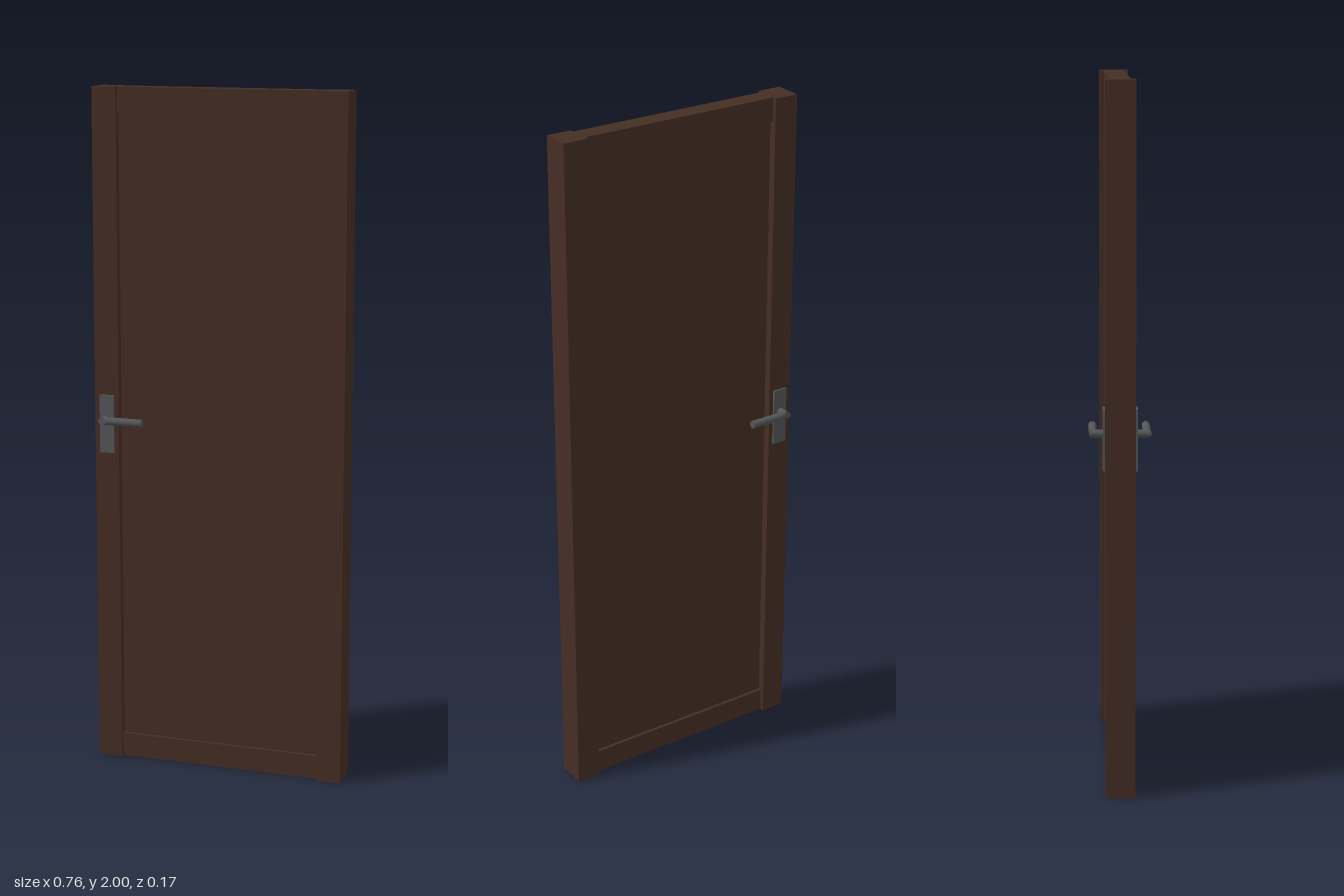
import * as THREE from 'three';

export function createModel() {
  const door = new THREE.Group();
  door.name = 'door';
  const wood = new THREE.MeshStandardMaterial({ color: 0x452e24 });
  wood.name = 'dark brown wood';
  const metal = new THREE.MeshStandardMaterial({ color: 0x535557 });
  metal.name = 'grey metal';

  function add(parent, name, geometry, material, x, y, z) {
    const mesh = new THREE.Mesh(geometry, material);
    mesh.name = name;
    mesh.position.set(x, y, z);
    parent.add(mesh);
  }

  // Frame: two thick stiles joined by thinner rails
  const W = 0.378, INNER = 0.305, RAIL = 0.07;
  for (const s of [-1, 1]) {
    add(door, s < 0 ? 'rightStile' : 'leftStile',
      new THREE.BoxGeometry(W - INNER, 2, 0.084), wood, s * (W + INNER) / 2, 1, 0);
    add(door, s < 0 ? 'bottomRail' : 'topRail',
      new THREE.BoxGeometry(INNER * 2, RAIL, 0.058), wood, 0, 1 + s * (1 - RAIL / 2), 0);
  }

  // Recessed panel
  add(door, 'panel', new THREE.BoxGeometry(INNER * 2, 2 - RAIL * 2, 0.038), wood, 0, 1, 0);

  // Round bar with one end cut at 45 degrees, built along +y
  const R = 0.0113;
  function mitredBar(length) {
    const bar = new THREE.CylinderGeometry(R, R, length, 24).translate(0, -length / 2, 0);
    const p = bar.attributes.position;
    for (let i = 0; i < p.count; i++) {
      if (p.getY(i) > -length / 2) p.setY(i, -p.getX(i));
    }
    return bar;
  }

  // Lever handles on both faces, both pointing to the middle of the door
  const HX = -0.341, HY = 1.04, HZ = 0.0747;
  for (const s of [1, -1]) {
    const side = s > 0 ? 'front' : 'back';
    add(door, side + 'HandlePlate', new THREE.BoxGeometry(0.044, 0.172, 0.006),
      metal, -0.34, 1.025, s * 0.045);

    const handle = new THREE.Group();
    handle.name = side + 'Handle';
    handle.position.set(HX, HY, 0);
    if (s < 0) handle.rotation.x = Math.PI;
    // neck runs out along +z, its cut end at the corner
    add(handle, 'neck', mitredBar(0.03).rotateX(Math.PI / 2), metal, 0, 0, HZ);
    // grip runs along +x, its cut end meeting the neck
    const grip = mitredBar(0.121).applyMatrix4(new THREE.Matrix4().makeBasis(
      new THREE.Vector3(0, 0, 1), new THREE.Vector3(-1, 0, 0), new THREE.Vector3(0, -1, 0)));
    add(handle, 'grip', grip, metal, 0, 0, HZ);
    door.add(handle);
  }
  return door;
}
